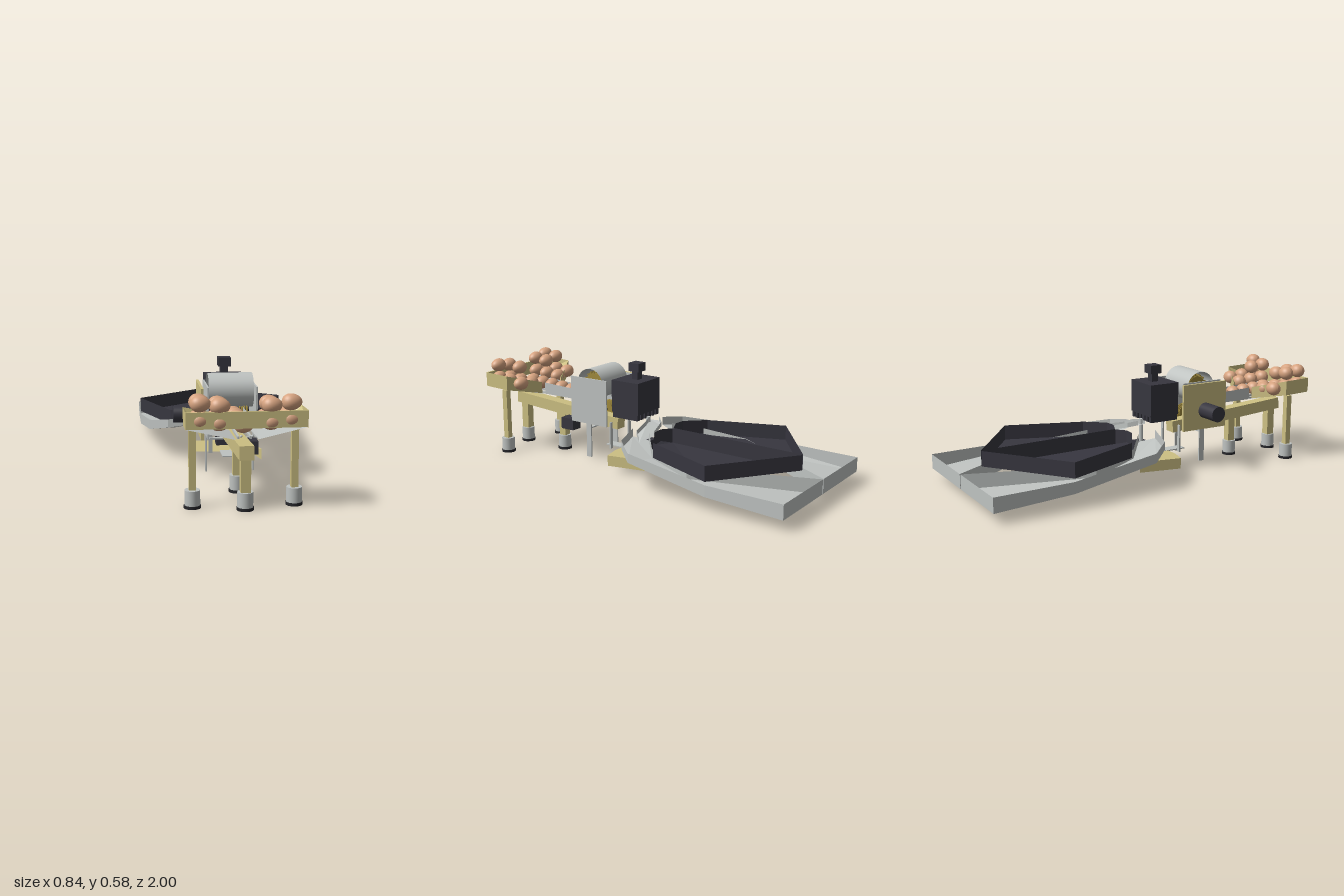
import * as THREE from 'three';

const mat = (name, color, side = THREE.FrontSide) => {
  const m = new THREE.MeshStandardMaterial({ color, side });
  m.name = name;
  return m;
};

export function createModel() {
  const root = new THREE.Group();
  root.name = 'eggProcessingMachine';
  const D = THREE.DoubleSide;
  const yellow = mat('paintedYellow', 0xcdc083, D);
  const grey = mat('sheetSteel', 0xbfc3c1, D);
  const dark = mat('darkPlastic', 0x37363f, D);
  const black = mat('rubberBlack', 0x26262a);
  const shell = mat('eggShell', 0xd6a380);
  const gold = mat('brass', 0xa08a3c);

  const add = (name, geo, m, x = 0, y = 0, z = 0) => {
    const mesh = new THREE.Mesh(geo, m);
    mesh.name = name;
    mesh.position.set(x, y, z);
    root.add(mesh);
    return mesh;
  };
  // box from its limits
  const box = (name, m, x0, x1, y0, y1, z0, z1) =>
    add(name, new THREE.BoxGeometry(x1 - x0, y1 - y0, z1 - z0), m,
      (x0 + x1) / 2, (y0 + y1) / 2, (z0 + z1) / 2);
  const cyl = (name, m, r, len, x, y, z, axis = 'y', sides = 32) => {
    const g = new THREE.CylinderGeometry(r, r, len, sides);
    if (axis === 'x') g.rotateZ(Math.PI / 2);
    return add(name, g, m, x, y, z);
  };
  const facets = (name, m, tris) => {
    const g = new THREE.BufferGeometry();
    g.setAttribute('position', new THREE.Float32BufferAttribute(tris.flat(), 3));
    g.computeVertexNormals();
    return add(name, g, m);
  };
  // flat-faced sheet between a lower and an upper polyline
  const strip = (name, m, lo, hi) => {
    const t = [];
    for (let i = 0; i + 1 < lo.length; i++)
      t.push(lo[i], lo[i + 1], hi[i + 1], lo[i], hi[i + 1], hi[i]);
    return facets(name, m, t);
  };
  // sheet filling an outline of 3D points, triangulated in plan
  const sheet = (name, m, pts) => {
    const plan = pts.map(p => new THREE.Vector2(p[0], -p[2]));
    const t = [];
    for (const f of THREE.ShapeUtils.triangulateShape(plan, [])) {
      const [a, b, c] = f.map(i => pts[i]);
      const up = (b[2] - a[2]) * (c[0] - a[0]) - (b[0] - a[0]) * (c[2] - a[2]) > 0;
      t.push(...(up ? [a, b, c] : [a, c, b]));
    }
    return facets(name, m, t);
  };
  const lift = (pts, h) => pts.map(([x, y, z]) => [x, y + h, z]);

  // legs with levelling feet
  for (const [x, z, top, w] of [[0, 0.93, 0.25, 0.046], [-0.233, 0.873, 0.365, 0.032],
    [0.233, 0.873, 0.365, 0.032], [0, 0.642, 0.235, 0.042]]) {
    box('leg', yellow, x - w / 2, x + w / 2, 0.08, top, z - w / 2, z + w / 2);
    cyl('legSleeve', grey, 0.036, 0.07, x, 0.049, z);
    cyl('footPad', black, 0.039, 0.014, x, 0.007, z);
  }
  // sloping main beam
  add('mainBeam', new THREE.BoxGeometry(0.066, 0.064, 0.75), yellow, 0, 0.245, 0.602).rotation.x = -0.07;

  // hopper
  box('hopperFrontBoard', yellow, -0.27, 0.27, 0.385, 0.46, 0.978, 0.988);
  for (const s of [-1, 1]) {
    const flip = pts => pts.map(([x, y, z]) => [s * x, y, z]);
    sheet('hopperFloor', grey, flip([[0.05, 0.335, 0.985], [0.27, 0.385, 0.985],
      [0.27, 0.38, 0.83], [0.08, 0.33, 0.735], [0.05, 0.325, 0.735]]));
    strip('hopperSideBoard', yellow,
      flip([[0.265, 0.385, 0.985], [0.19, 0.36, 0.86], [0.08, 0.335, 0.74]]),
      flip([[0.27, 0.46, 0.985], [0.27, 0.455, 0.83], [0.085, 0.4, 0.732]]));
    strip('hopperSideOuter', yellow, flip([[0.27, 0.38, 0.985], [0.27, 0.375, 0.83], [0.085, 0.335, 0.732]]),
      flip([[0.27, 0.46, 0.985], [0.27, 0.455, 0.83], [0.085, 0.4, 0.732]]));
    // feed track
    const rail = flip([[0.05, 0.335, 0.74], [0.05, 0.325, 0.46]]);
    strip('feedRail', grey, rail, lift(rail, 0.055));
    box('feedRunner', grey, s * 0.028 - 0.005, s * 0.028 + 0.005, 0.318, 0.33, 0.46, 0.9);
    add('feedKnob', new THREE.SphereGeometry(0.006, 12, 8), grey, s * 0.025, 0.347, 0.97);
  }

  // eggs
  const eggGeo = new THREE.SphereGeometry(1, 28, 18);
  const p = eggGeo.attributes.position;
  for (let i = 0; i < p.count; i++) {
    const k = 1 - 0.12 * p.getX(i);
    p.setXYZ(i, p.getX(i) * 0.046, p.getY(i) * 0.037 * k, p.getZ(i) * 0.037 * k);
  }
  eggGeo.computeVertexNormals();
  const egg = (x, y, z) => add('egg', eggGeo, shell, x, y, z);
  for (const x of [-0.203, -0.117, 0.113, 0.2]) {
    const up = Math.abs(x) > 0.15 ? 0.012 : 0;
    egg(x, 0.408 + up, 0.958);
    egg(x, 0.402 + up, 0.875);
    egg(x, 0.395 + up, 0.79);
    egg(x, 0.482 + up, 0.96);
    if (x !== 0.2) egg(x, 0.475 + up, 0.878);
  }
  for (let i = 0; i < 6; i++) egg(0, 0.354 + i * 0.005, 0.51 + i * 0.074);

  // breaker housing
  box('motorPlate', yellow, -0.157, -0.143, 0.22, 0.475, 0.215, 0.495);
  cyl('driveMotor', dark, 0.042, 0.13, -0.219, 0.325, 0.355, 'x');
  for (const s of [-1, 1]) {
    box('sidePanel', grey, s * 0.12 - 0.004, s * 0.12 + 0.004, 0.22, 0.478, 0.235, 0.482);
    box('sidePanelTongue', grey, s * 0.12 - 0.004, s * 0.12 + 0.004, 0.03, 0.22, 0.344, 0.376);
    box('supportPost', grey, s * 0.084 - 0.01, s * 0.084 + 0.01, 0.09, 0.24, 0.231, 0.239);
  }
  box('crossBar', grey, -0.12, 0.12, 0.193, 0.2, 0.35, 0.37);
  box('sensorBox', dark, 0.05, 0.116, 0.16, 0.225, 0.48, 0.565);
  const guard = new THREE.CylinderGeometry(0.087, 0.087, 0.224, 48, 1, true);
  guard.rotateZ(Math.PI / 2);
  add('drumGuard', guard, grey, 0, 0.443, 0.355);
  // breaker wheels on two shafts
  cyl('lowerShaft', dark, 0.01, 0.23, 0, 0.272, 0.36, 'x', 16);
  cyl('upperShaft', dark, 0.012, 0.23, 0, 0.44, 0.355, 'x', 16);
  for (const s of [-1, 1]) for (let i = 0; i < 4; i++) {
    const x = s * (0.036 + i * 0.012);
    cyl('lowerWheel', gold, 0.045, 0.005, x, 0.275, 0.36, 'x', 14);
    cyl('upperWheel', gold, 0.058, 0.005, x, 0.44, 0.355, 'x', 24);
    for (let k = 0; k < 16; k++) {
      const a = k * Math.PI / 8;
      const tooth = add('wheelTooth', new THREE.BoxGeometry(0.004, 0.014, 0.005), gold,
        x, 0.44 + Math.cos(a) * 0.063, 0.355 + Math.sin(a) * 0.063);
      tooth.rotation.x = a;
    }
    box('guideFinger', gold, x - 0.002, x + 0.002, 0.29, 0.38, 0.455, 0.495);
  }

  // head unit with comb and knob
  box('headBox', dark, -0.103, 0.1, 0.31, 0.485, 0.04, 0.215);
  for (let i = 0; i < 6; i++) {
    const x = -0.088 + i * 0.035;
    box('headTooth', dark, x - 0.011, x + 0.011, 0.278, 0.31, 0.045, 0.21);
  }
  box('knobStem', dark, -0.02, 0.02, 0.485, 0.53, 0.098, 0.136);
  box('knob', dark, -0.033, 0.033, 0.53, 0.576, 0.084, 0.15);

  // folded base plate
  const base = [[-0.195, 0.088, 0.175], [-0.1, 0.088, 0.2], [0.1, 0.088, 0.2], [0.195, 0.088, 0.175],
    [0.15, 0.088, -0.055], [-0.15, 0.088, -0.055]];
  sheet('basePlate', yellow, base);
  for (const [a, b] of [[3, 4], [5, 0]]) strip('basePlateFlange', yellow,
    lift([base[a], base[b]], -0.058), [base[a], base[b]]);
  box('basePlateTongue', grey, -0.03, 0.03, 0.084, 0.09, 0.18, 0.31);
  box('pedestal', dark, -0.035, 0.045, 0.09, 0.158, 0.01, 0.075);
  cyl('pedestalColumn', grey, 0.012, 0.13, 0, 0.22, 0.042, 'y', 16);

  for (const s of [-1, 1]) {
    // lower collecting trough
    const outer = [[0.004, 0.054, -1], [0.42, 0.054, -1], [0.42, 0.078, -0.58], [0.385, 0.15, -0.1],
      [0.29, 0.18, 0.01], [0.14, 0.205, 0.045]].map(([x, y, z]) => [s * x, y, z]);
    const inner = [[0.3, 0.1, -0.4], [0.24, 0.145, -0.15], [0.11, 0.19, -0.04]]
      .map(([x, y, z]) => [s * x, y, z]);
    sheet('troughFloor', grey, [...outer, ...[...inner].reverse()]);
    const top = outer.map(([x, y, z], i) => [x, y + [0.078, 0.078, 0.06, 0.05, 0.045, 0.045][i], z]);
    strip('troughOuterWall', grey, outer, top);
    const edge = [outer[0], ...inner];
    strip('troughInnerWall', grey, edge,
      edge.map(([x, y, z], i) => [x, y + [0.078, 0.06, 0.05, 0.045][i], z]));

    // upper dark pan
    const rim = [[0.004, 0.155, -0.885], [0.42, 0.155, -0.58], [0.265, 0.158, -0.175],
      [0.135, 0.18, -0.095], [0.07, 0.185, -0.09], [0.004, 0.165, -0.12]]
      .map(([x, y, z]) => [s * x, y, z]);
    sheet('panFloor', dark, rim);
    const ring = [...rim, rim[0]];
    strip('panWall', dark, ring, lift(ring, 0.08).map(q => [q[0], Math.min(q[1], 0.25), q[2]]));
  }

  // outlet chute under the head
  const chute = [[-0.03, 0.26, 0.05], [0.05, 0.25, 0.02], [0.14, 0.215, 0.02],
    [0.2, 0.2, -0.04], [0.1, 0.215, -0.065], [0, 0.245, -0.045], [-0.04, 0.26, 0]];
  sheet('outletChute', grey, chute);
  strip('outletChuteLip', grey, chute.slice(0, 4), lift(chute.slice(0, 4), 0.025));
  strip('outletChuteBackLip', grey, chute.slice(4), lift(chute.slice(4), 0.025));

  return root;
}
